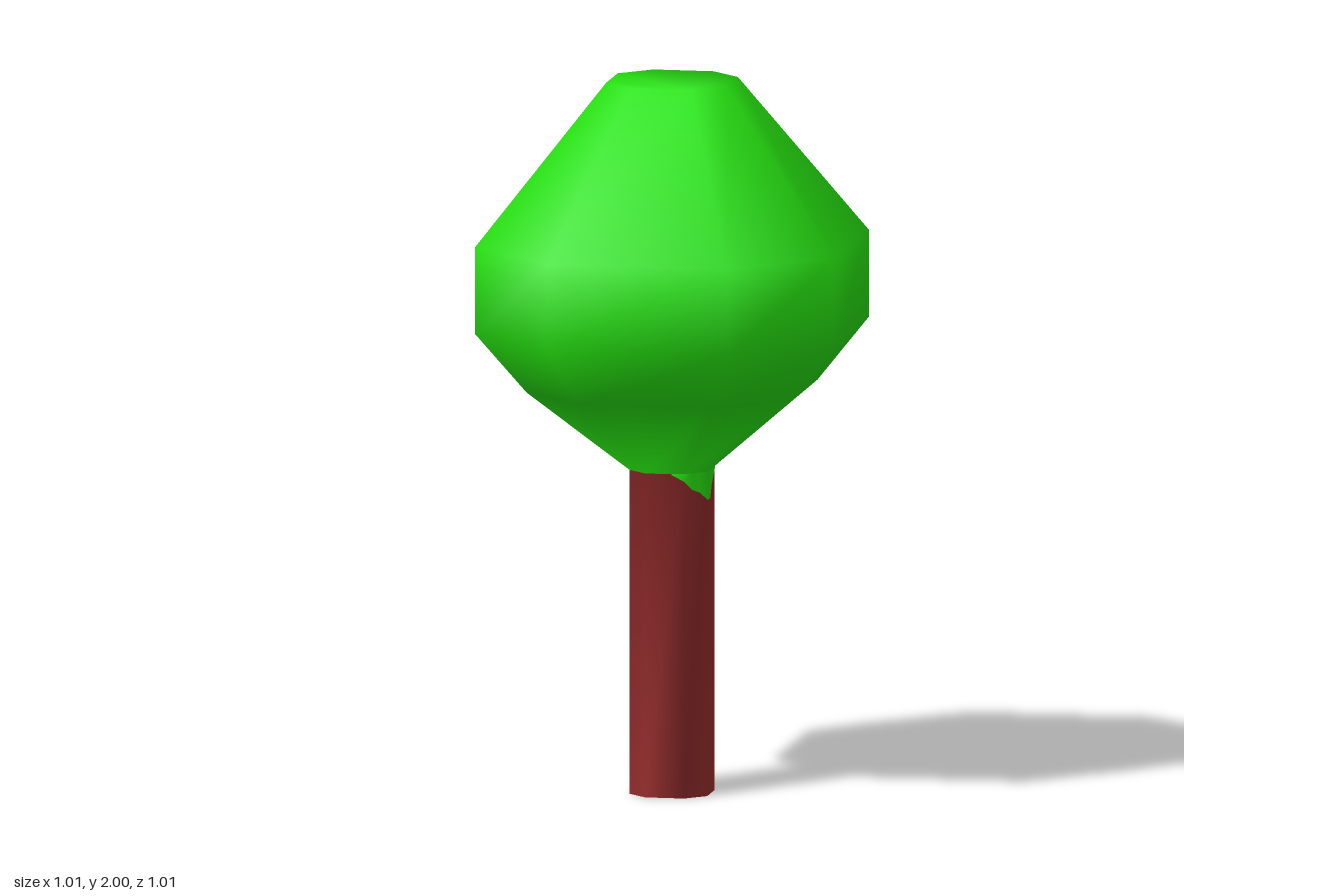
import * as THREE from 'three';

// Square with half-width w, its corners cut at half way: eight points as [x, z]
function ring(w) {
  const h = w / 2;
  return [[h, w], [w, h], [w, -h], [h, -w], [-h, -w], [-w, -h], [-w, h], [-h, w]];
}

export function createModel() {
  const tree = new THREE.Group();
  tree.name = 'tree';
  const green = new THREE.MeshStandardMaterial({ color: 0x26e310 });
  green.name = 'leaf green';
  const brown = new THREE.MeshStandardMaterial({ color: 0x9c2e2e });
  brown.name = 'bark brown';

  // Cross-sections from the ground up: [height, half-width]
  const sections = [[0, 0.11], [0.91, 0.11], [1.14, 0.375], [1.31, 0.507], [1.555, 0.507], [2, 0.17]];
  const positions = [];
  for (const [y, w] of sections) for (const [x, z] of ring(w)) positions.push(x, y, z);

  // Faces between section a and section b
  const wall = (a, b) => {
    const faces = [];
    for (let s = a; s < b; s++) {
      for (let i = 0; i < 8; i++) {
        const p = s * 8 + i, q = s * 8 + (i + 1) % 8;
        faces.push(p, q, q + 8, p, q + 8, p + 8);
      }
    }
    return faces;
  };
  // Flat cap on section s
  const cap = (s, up) => {
    const faces = [];
    for (let i = 1; i < 7; i++) {
      const p = s * 8;
      faces.push(p, p + (up ? i : i + 1), p + (up ? i + 1 : i));
    }
    return faces;
  };
  const trunkFaces = [...cap(0, false), ...wall(0, 1)];
  const crownFaces = [...wall(1, 5), ...cap(5, true)];

  // Normals run smoothly across the join of trunk and crown
  const whole = new THREE.BufferGeometry();
  whole.setAttribute('position', new THREE.Float32BufferAttribute(positions, 3));
  whole.setIndex([...trunkFaces, ...crownFaces]);
  whole.computeVertexNormals();

  const addPart = (name, faces, material) => {
    const geometry = new THREE.BufferGeometry();
    geometry.setAttribute('position', whole.getAttribute('position').clone());
    geometry.setAttribute('normal', whole.getAttribute('normal').clone());
    geometry.setIndex(faces);
    const mesh = new THREE.Mesh(geometry, material);
    mesh.name = name;
    tree.add(mesh);
  };
  addPart('trunk', trunkFaces, brown);
  addPart('crown', crownFaces, green);

  // Ragged leaf fringe hanging over one corner of the trunk: [x, z, lower edge]
  const fringe = [
    [0.02, 0.112, 0.908], [0.056, 0.112, 0.89], [0.075, 0.093, 0.865], [0.093, 0.075, 0.855],
    [0.112, 0.056, 0.832], [0.112, 0.02, 0.832], [0.112, 0, 0.865], [0.112, -0.05, 0.908],
  ];
  const points = [], faces = [];
  fringe.forEach(([x, z, low], i) => {
    points.push(x, low, z, x, 0.912, z);
    const p = i * 2;
    if (i < fringe.length - 1) faces.push(p, p + 2, p + 3, p, p + 3, p + 1);
  });
  const fringeGeometry = new THREE.BufferGeometry();
  fringeGeometry.setAttribute('position', new THREE.Float32BufferAttribute(points, 3));
  fringeGeometry.setIndex(faces);
  fringeGeometry.computeVertexNormals();
  const fringeMesh = new THREE.Mesh(fringeGeometry, green);
  fringeMesh.name = 'leafFringe';
  tree.add(fringeMesh);

  return tree;
}
